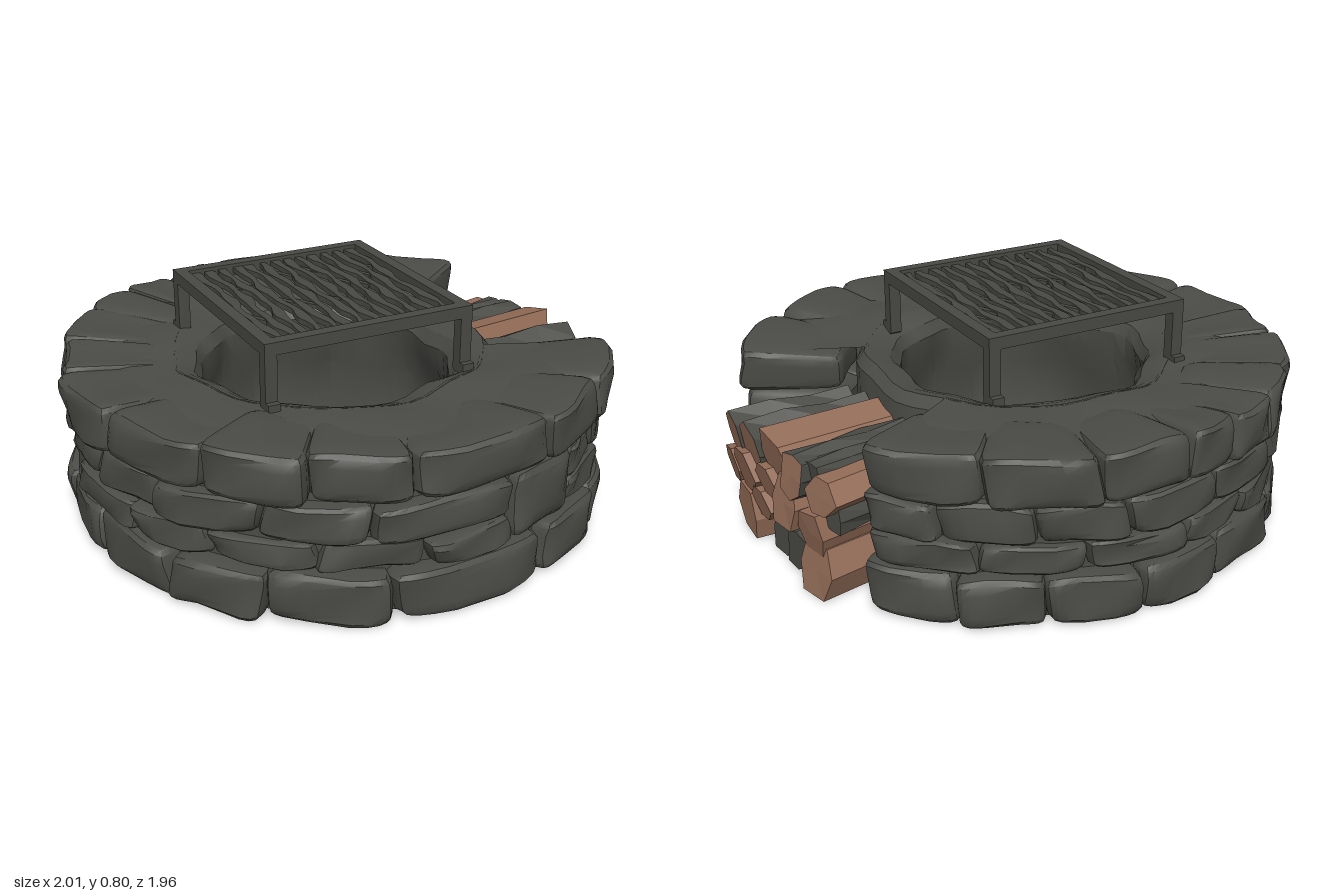
import * as THREE from 'three';
import { toCreasedNormals } from 'three/addons/utils/BufferGeometryUtils.js';

const stoneMat = new THREE.MeshStandardMaterial({ color: 0x4b4c47 });
stoneMat.name = 'dark stone';
const woodMat = new THREE.MeshStandardMaterial({ color: 0x946d58 });
woodMat.name = 'split wood';
const barkMat = new THREE.MeshStandardMaterial({ color: 0x4a4b46 });
barkMat.name = 'bark';
const ironMat = new THREE.MeshStandardMaterial({ color: 0x484944 });
ironMat.name = 'iron';

const DEG = Math.PI / 180;
const CX = -0.015, CZ = 0; // centre of the ring
const NOTCH_END = 41, NOTCH_START = 344; // the wood niche lies between these angles

let seed = 7;
const rand = () => {
  seed = (seed * 16807) % 2147483647;
  return seed / 2147483647;
};
const vary = (a) => (rand() * 2 - 1) * a;

function add(parent, name, geometry, material) {
  const mesh = new THREE.Mesh(geometry, material);
  mesh.name = name;
  parent.add(mesh);
  return mesh;
}

// Move every vertex by a rule
function warp(geometry, rule) {
  const p = geometry.attributes.position;
  const v = new THREE.Vector3();
  for (let i = 0; i < p.count; i++) {
    v.fromBufferAttribute(p, i);
    rule(v);
    p.setXYZ(i, v.x, v.y, v.z);
  }
  return geometry;
}

// Rounded, lumpy block bent around the ring
function stoneGeometry(a0, a1, y0, y1, r0, r1) {
  const mid = (a0 + a1) / 2, half = (a1 - a0) / 2 + 0.25;
  const s1 = rand() * 6, s2 = rand() * 6, tilt = vary(0.014), bulge = vary(0.012);
  const topShift = vary(0.008), skew = vary(1.1);
  const spread = (t) => Math.sign(t) * Math.pow(Math.abs(t), 0.55);
  const k = 8;
  const g = warp(new THREE.BoxGeometry(2, 2, 2, 7, 5, 5), (v) => {
    let x = spread(v.x), y = spread(v.y), z = spread(v.z);
    const f = Math.pow(Math.abs(x) ** k + Math.abs(y) ** k + Math.abs(z) ** k, -1 / k)
      * Math.max(Math.abs(x), Math.abs(y), Math.abs(z));
    x *= f; y *= f; z *= f;
    const lump = 0.012 * Math.sin(3 * x + s1) * Math.cos(2.5 * y + s2);
    const r = (r0 + r1) / 2 + z * (r1 - r0) / 2 + (z > 0 ? bulge + lump + tilt * x : 0);
    const h = (y0 + y1) / 2 + y * (y1 - y0) / 2
      + (y > 0 ? topShift - 0.018 * (1 - z) : 0) + 0.007 * Math.sin(2.6 * x + s2);
    const a = (mid - x * half + skew * y) * DEG;
    v.set(CX + r * Math.cos(a), THREE.MathUtils.clamp(h, 0.004, 0.606), CZ + r * Math.sin(a));
  });
  return toCreasedNormals(g, 0.6);
}

// One row of stones between successive angles
function course(parent, name, y0, y1, r0, r1, angles) {
  for (let i = 0; i + 1 < angles.length; i++) {
    add(parent, name, stoneGeometry(angles[i], angles[i + 1], y0, y1, r0, r1 + vary(0.008)), stoneMat);
  }
}

// Closed lathe ring with an uneven surface; the hole sits a little off centre
function ringGeometry(profile, start, length, segments) {
  const pts = profile.map(([r, y]) => new THREE.Vector2(r, y));
  const g = warp(new THREE.LatheGeometry(pts, segments, start, length), (v) => {
    const r = Math.hypot(v.x, v.z), a = Math.atan2(v.z, v.x);
    const inner = Math.max(0, 1 - (r - 0.45) / 0.4);
    const n = inner * (0.012 * Math.sin(5 * a + 6 * v.y) + 0.01 * Math.sin(11 * a - 9 * v.y));
    v.x += n * Math.cos(a) + CX - 0.05 * inner;
    v.z += n * Math.sin(a) + CZ;
    if (v.y > 0.45) v.y += 0.008 * Math.sin(7 * a + 8 * r);
  });
  return toCreasedNormals(g, 0.5);
}

function buildRing(root) {
  const ring = new THREE.Group();
  ring.name = 'stoneRing';
  root.add(ring);

  // Full inner wall, then the body that stops at the niche
  add(ring, 'innerWall', ringGeometry([
    [0.48, 0.006], [0.64, 0.006], [0.61, 0.3], [0.59, 0.54], [0.56, 0.575], [0.52, 0.565], [0.475, 0.545],
    [0.448, 0.5], [0.455, 0.41], [0.49, 0.3], [0.5, 0.15], [0.485, 0.05], [0.48, 0.006],
  ], 0, Math.PI * 2, 48), stoneMat);
  const a0 = NOTCH_END + 2, a1 = NOTCH_START - 2;
  add(ring, 'innerFill', ringGeometry([
    [0.56, 0.006], [0.9, 0.006], [0.92, 0.3], [0.9, 0.56], [0.74, 0.58], [0.55, 0.574],
  ], (90 - a1) * DEG, (a1 - a0) * DEG, 44), stoneMat);

  course(ring, 'bottomStone', 0.004, 0.19, 0.6, 0.98,
    [41, 66, 87, 122, 146, 166, 189, 208, 230, 248, 271, 290, 309, 326, 344]);
  course(ring, 'nicheStone', 0.004, 0.16, 0.58, 0.86, [33, 42]);
  course(ring, 'lowerMiddleStone', 0.185, 0.295, 0.6, 0.96, [41, 57, 77]);
  course(ring, 'lowerMiddleStone', 0.185, 0.295, 0.6, 0.96,
    [96, 115, 136, 158, 176, 200, 218, 240, 262, 279, 301, 322, 344]);
  course(ring, 'upperMiddleStone', 0.29, 0.43, 0.6, 0.965, [41, 62, 77]);
  course(ring, 'upperMiddleStone', 0.29, 0.43, 0.6, 0.965,
    [96, 126, 147, 170, 188, 211, 231, 250, 272, 293, 311, 330, 344]);
  course(ring, 'largeStone', 0.19, 0.43, 0.6, 0.975, [77, 96]);
  course(ring, 'topStone', 0.425, 0.605, 0.62, 0.982,
    [41, 65, 87, 118, 138, 158, 182, 204, 220, 239, 255, 267, 280, 299, 321, 344]);
}

// Split log lying outwards from the niche; charred ends sit a little deeper
function buildLog(parent, z, y, r, bark, darkEnd) {
  const s1 = rand() * 6, s2 = rand() * 6, length = 0.45 + vary(0.015) - (darkEnd ? 0.04 : 0);
  const rough = bark ? 0.13 : 0.16;
  const g = warp(new THREE.CylinderGeometry(r, r * 0.95, length, bark ? 8 : 6, bark ? 3 : 1), (v) => {
    const a = Math.atan2(v.z, v.x);
    const f = 1 + rough * Math.sin(2 * a + s1) + 0.1 * Math.sin(3 * a + s2)
      + (bark ? 0.08 * Math.sin(4 * a + 20 * v.y) : 0);
    v.x *= f;
    v.z *= f;
    v.y += 0.2 * v.x * Math.sin(s2);
  }).toNonIndexed();
  g.translate(0, -length / 2, 0);
  g.rotateZ(-Math.PI / 2);
  g.rotateY(-(6 + 25 * z) * DEG);
  g.translate(0.992 - 0.22 * Math.max(z, 0) + vary(0.012) - (darkEnd ? 0.04 : 0), y, z);
  warp(g, (v) => { v.y = Math.max(v.y, 0.008); v.x = Math.min(v.x, 1); });
  g.computeVertexNormals();
  const end = darkEnd ? barkMat : woodMat;
  add(parent, bark ? 'barkLog' : 'splitLog', g, [bark ? barkMat : woodMat, end, end]);
}

function buildWood(root) {
  const pile = new THREE.Group();
  pile.name = 'firewood';
  root.add(pile);
  // end z, end y, radius, bark side, dark end
  const logs = [
    [0.42, 0.09, 0.105, 0, 0], [0.21, 0.08, 0.09, 0, 1], [-0.08, 0.1, 0.105, 0, 0], [0.07, 0.09, 0.075, 1, 1],
    [0.53, 0.23, 0.08, 0, 0], [0.39, 0.27, 0.1, 0, 0], [0.18, 0.2, 0.085, 1, 1], [-0.07, 0.23, 0.085, 0, 0],
    [0.29, 0.18, 0.075, 0, 0], [0.07, 0.29, 0.09, 0, 0], [-0.15, 0.31, 0.055, 1, 1], [0.22, 0.3, 0.075, 0, 0],
    [0.46, 0.38, 0.08, 1, 0], [0.32, 0.38, 0.095, 1, 0], [0.14, 0.39, 0.115, 0, 0], [0.01, 0.41, 0.075, 1, 0],
    [-0.06, 0.43, 0.055, 1, 1], [-0.14, 0.39, 0.075, 0, 0],
  ];
  logs.forEach(([z, y, r, bark, dark]) => buildLog(pile, z, y, r, !!bark, !!dark));
}

function buildGrate(root) {
  const grate = new THREE.Group();
  grate.name = 'grate';
  grate.position.set(-0.09, 0, -0.01);
  grate.rotation.y = -15.8 * DEG;
  root.add(grate);
  const hu = 0.368, hv = 0.388, t = 0.044;

  // Frame, legs and the small feet sunk in the rim
  for (const s of [-1, 1]) {
    add(grate, 'frameSide', new THREE.BoxGeometry(t, t, 2 * hv + t), ironMat).position.set(s * hu, 0.779, 0);
    add(grate, 'frameEnd', new THREE.BoxGeometry(2 * hu - t, t, t), ironMat).position.set(0, 0.779, s * hv);
    for (const e of [-1, 1]) {
      add(grate, 'leg', new THREE.BoxGeometry(t, 0.21, t), ironMat).position.set(s * hu, 0.665, e * hv);
      add(grate, 'foot', new THREE.BoxGeometry(t, 0.04, 0.06), ironMat)
        .position.set(s * hu, 0.575, e * (hv + 0.015));
    }
  }

  // Rough, wavy bars with a few slivers bridging them
  const count = 13, pitch = (2 * hu) / (count + 1);
  for (let i = 1; i <= count; i++) {
    const s1 = rand() * 6, s2 = rand() * 6;
    const bar = warp(new THREE.BoxGeometry(0.029, 0.02, 2 * hv, 1, 1, 18), (v) => {
      v.x *= 1 + 0.3 * Math.sin(23 * v.z + s1) + 0.2 * Math.sin(41 * v.z + s2);
      v.x += 0.007 * Math.sin(13 * v.z + s2) + 0.004 * Math.sin(37 * v.z + s1);
    }).toNonIndexed();
    bar.computeVertexNormals();
    const x = -hu + i * pitch;
    add(grate, 'bar', bar, ironMat).position.set(x, 0.778, 0);
    if (i < count) {
      const sliver = add(grate, 'sliver', new THREE.BoxGeometry(0.018, 0.014, 0.1), ironMat);
      sliver.position.set(x + pitch / 2, 0.776, vary(0.3));
      sliver.rotation.y = 0.5 + vary(0.15);
    }
  }
}

export function createModel() {
  seed = 7;
  const root = new THREE.Group();
  root.name = 'firePit';
  buildRing(root);
  buildWood(root);
  buildGrate(root);
  return root;
}
